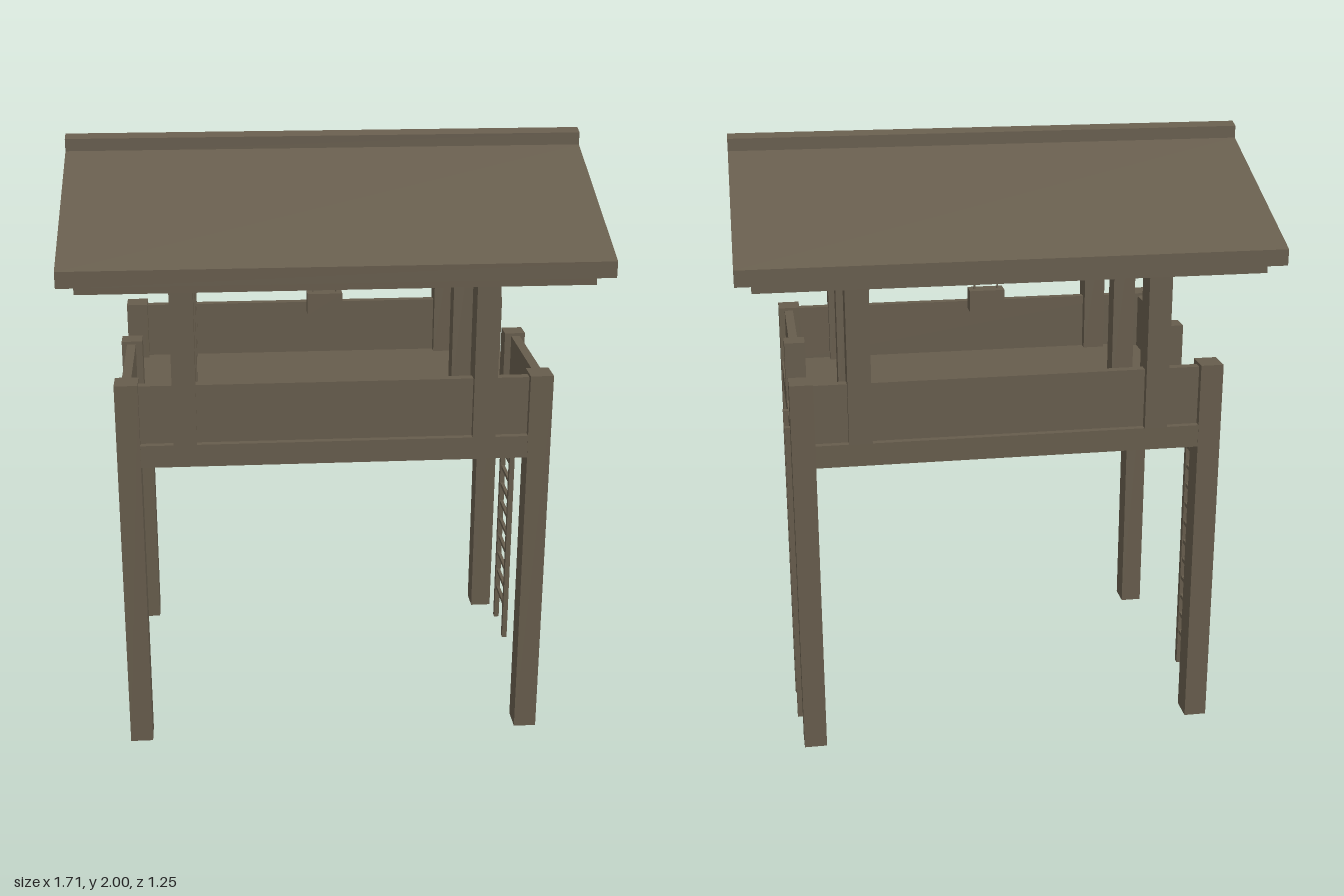
import * as THREE from 'three';

export function createModel() {
  const model = new THREE.Group();
  model.name = 'watchtower';
  const wood = new THREE.MeshStandardMaterial({ color: 0x665c4c });
  wood.name = 'weathered wood';

  function add(name, geometry) {
    const mesh = new THREE.Mesh(geometry, wood);
    mesh.name = name;
    model.add(mesh);
    return mesh;
  }

  // Box given by its lower and upper corners
  function box(name, x0, x1, y0, y1, z0, z1) {
    const g = new THREE.BoxGeometry(x1 - x0, y1 - y0, Math.abs(z1 - z0));
    g.translate((x0 + x1) / 2, (y0 + y1) / 2, (z0 + z1) / 2);
    return add(name, g);
  }

  // Box centred on (x, z)
  function post(name, x, z, w, d, y0, y1) {
    return box(name, x - w / 2, x + w / 2, y0, y1, z - d / 2, z + d / 2);
  }

  // Cross-section of [z, y] points extruded along x
  function alongX(name, points, halfLength) {
    const shape = new THREE.Shape(points.map(([z, y]) => new THREE.Vector2(z, y)));
    const g = new THREE.ExtrudeGeometry(shape, { depth: halfLength * 2, bevelEnabled: false });
    g.translate(0, 0, -halfLength);
    g.rotateY(Math.PI / 2);
    return add(name, g);
  }

  // Platform
  box('platform', -0.699, 0.699, 1.01, 1.085, -0.499, 0.499);

  for (const s of [-1, 1]) {
    // Legs, roof posts and wall plates on both long sides
    for (const t of [-1, 1]) {
      post('cornerLeg', s * 0.665, t * 0.458, 0.075, 0.085, 0, 1.29);
      post('roofPost', s * 0.483, t * 0.458, 0.075, 0.085, 1.085, 1.63);
    }
    post('wallPlate', 0, s * 0.458, 1.6, 0.084, 1.625, 1.69);
    post('longRailing', 0, s * 0.462, 1.27, 0.03, 1.085, 1.28);

    // Gable frame
    post('kingPost', s * 0.483, 0, 0.075, 0.07, 1.085, 1.85);
    post('tieBeam', s * 0.483, 0, 0.07, 0.84, 1.625, 1.69);

    // Half railing beside the ladder opening
    post('railingPost', s * 0.665, 0, 0.07, 0.07, 1.085, 1.29);
    post('endRailing', s * 0.667, 0.227, 0.03, 0.385, 1.085, 1.28);

    // Ladder
    for (const z of [-0.132, -0.302]) {
      post('ladderRail', s * 0.708, z, 0.018, 0.022, 0.01, 1.085);
    }
    for (let i = 0; i < 12; i++) {
      const y = 0.14 + i * 0.0733;
      post('ladderRung', s * 0.708, -0.217, 0.012, 0.16, y - 0.007, y + 0.007);
    }

    // Ropes of the hanging box
    post('rope', s * 0.04, 0, 0.005, 0.005, 1.445, 1.84);
  }
  post('hangingBox', 0, 0, 0.12, 0.06, 1.37, 1.445);

  // Roof: ridge beam, lining, covering and ridge cap
  post('ridgeBeam', 0, 0, 1.6, 0.07, 1.825, 1.89);
  alongX('roofLining', [
    [-0.578, 1.612], [-0.035, 1.842], [0.035, 1.842], [0.578, 1.612],
    [0.578, 1.667], [0.035, 1.9], [-0.035, 1.9], [-0.578, 1.667],
  ], 0.803);
  alongX('roofCovering', [
    [-0.623, 1.645], [-0.035, 1.898], [0, 1.906], [0.035, 1.898], [0.623, 1.645],
    [0.623, 1.697], [0.035, 1.948], [0, 1.956], [-0.035, 1.948], [-0.623, 1.697],
  ], 0.853);
  alongX('ridgeCap', [
    [-0.035, 1.94], [0.035, 1.94], [0.035, 1.988], [0, 2], [-0.035, 1.988],
  ], 0.853);

  return model;
}
